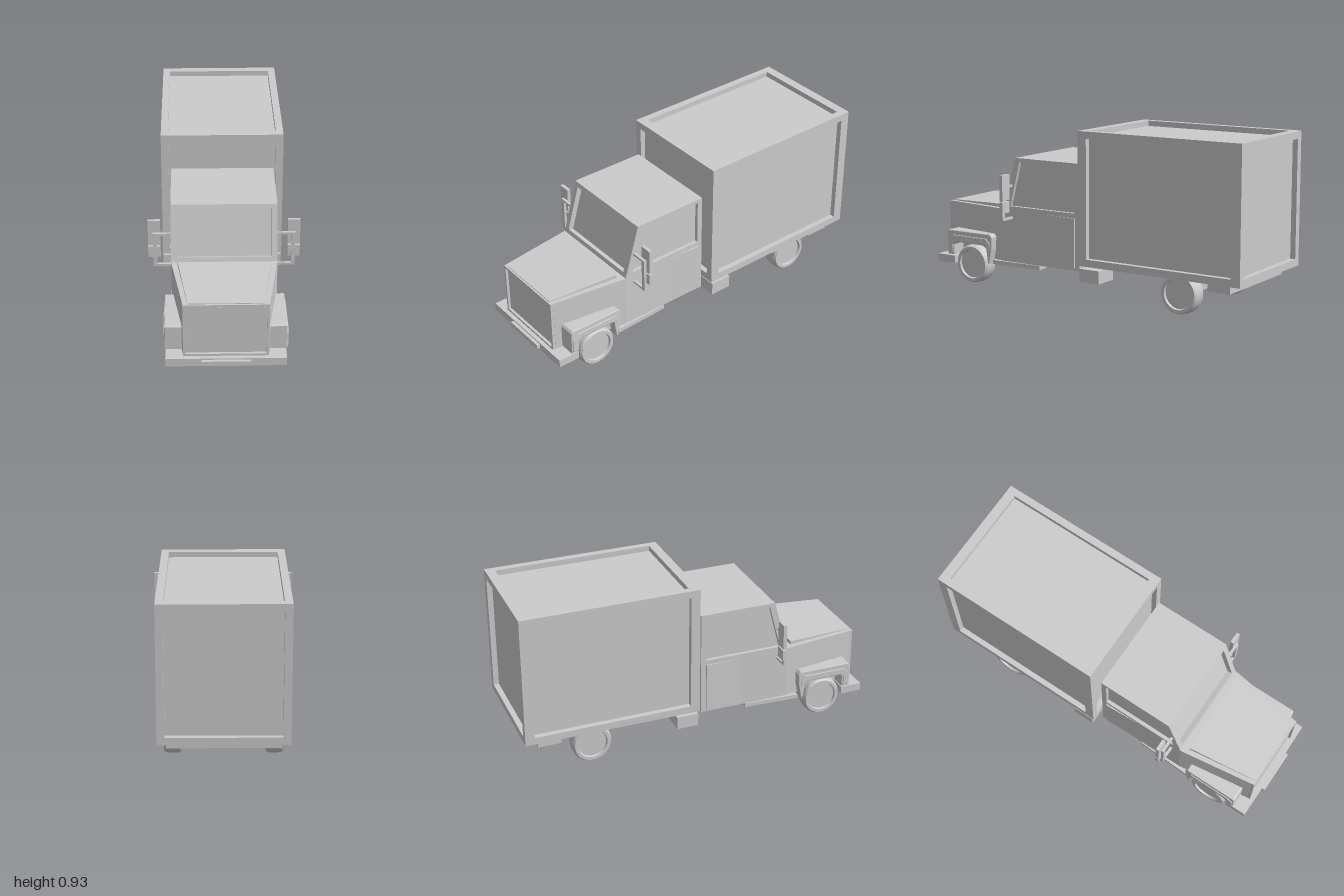
import * as THREE from 'three';
import { toCreasedNormals } from 'three/addons/utils/BufferGeometryUtils.js';

const material = new THREE.MeshStandardMaterial({ color: 0xcccccc, flatShading: true });
const smoothMaterial = new THREE.MeshStandardMaterial({ color: 0xcccccc });

function add(parent, name, geometry, mat = material) {
  const mesh = new THREE.Mesh(geometry, mat);
  mesh.name = name;
  parent.add(mesh);
  return mesh;
}

// Box given by its limits on each axis
function block(parent, name, [x0, x1], [y0, y1], [z0, z1]) {
  const g = new THREE.BoxGeometry(x1 - x0, y1 - y0, z1 - z0);
  g.translate((x0 + x1) / 2, (y0 + y1) / 2, (z0 + z1) / 2);
  return add(parent, name, g);
}

// Mirrored limits for the left (+1) and right (-1) side
const sided = (s, a, b) => (s > 0 ? [a, b] : [-b, -a]);

function shapeOf(points, hole) {
  const shape = new THREE.Shape(points.map(p => new THREE.Vector2(...p)));
  if (hole) shape.holes.push(new THREE.Path(hole.map(p => new THREE.Vector2(...p))));
  return shape;
}

// Side profile in (z, y), extruded across x from x0 to x1
function sideExtrude(points, x0, x1, hole, bevel = 0) {
  const g = new THREE.ExtrudeGeometry(shapeOf(points, hole), {
    depth: x1 - x0 - 2 * bevel, bevelEnabled: bevel > 0,
    bevelSize: bevel, bevelThickness: bevel, bevelOffset: -bevel, bevelSegments: 2,
  });
  g.rotateY(-Math.PI / 2);
  g.translate(x1 - bevel, 0, 0);
  return g;
}

// Plan outline in (x, z), extruded from y0 to y1
function planExtrude(points, y0, y1) {
  const g = new THREE.ExtrudeGeometry(shapeOf(points), { depth: y1 - y0, bevelEnabled: false });
  g.rotateX(Math.PI / 2);
  g.translate(0, y1, 0);
  return g;
}

const rect = (x, y0, y1) => [[-x, y0], [x, y0], [x, y1], [-x, y1]];

function cargoBox() {
  const g = new THREE.Group();
  g.name = 'cargoBox';
  const X = 0.333, Y0 = 0.195, Y1 = 0.925, Z0 = -1, Z1 = -0.018, t = 0.04, tz = 0.052, d = 0.03;
  block(g, 'recessedPanels', [-X + d, X - d], [Y0 + 0.005, Y1 - d], [Z0 + d, Z1 - d]);
  for (const s of [1, -1]) {
    for (const z of [[Z0, Z0 + tz], [Z1 - tz, Z1]]) block(g, 'cornerPost', sided(s, X - t, X), [Y0, Y1], z);
    for (const y of [[Y0, Y0 + t], [Y1 - t, Y1]]) block(g, 'sideRail', sided(s, X - t, X), y, [Z0 + tz, Z1 - tz]);
  }
  for (const y of [[Y0, Y0 + t], [Y1 - t, Y1]])
    for (const z of [[Z0, Z0 + tz], [Z1 - tz, Z1]]) block(g, 'crossRail', [-X + t, X - t], y, z);
  block(g, 'floor', [-X + t, X - t], [Y0, Y0 + 0.02], [Z0 + tz, Z1 - tz]);
  return g;
}

function cab() {
  const g = new THREE.Group();
  g.name = 'cab';
  const W = 0.278;
  // Lower body narrowing towards the nose
  add(g, 'lowerBody', planExtrude(
    [[-W, 0.01], [W, 0.01], [W, 0.525], [0.218, 0.945], [-0.218, 0.945], [-W, 0.525]], 0.15, 0.446));
  // Glass volume seen through the window frames
  add(g, 'windows', sideExtrude([[0.02, 0.44], [0.493, 0.44], [0.412, 0.73], [0.02, 0.73]], -0.258, 0.258));
  // Side walls with window openings
  const wall = [[0.01, 0.44], [0.525, 0.44], [0.44, 0.74], [0.01, 0.74]];
  const opening = [[0.04, 0.466], [0.478, 0.466], [0.412, 0.718], [0.04, 0.718]];
  add(g, 'leftWindowFrame', sideExtrude(wall, 0.256, W, opening));
  add(g, 'rightWindowFrame', sideExtrude(wall, -W, -0.256, opening));
  block(g, 'roof', [-W + 0.01, W - 0.01], [0.72, 0.74], [0.01, 0.44]);
  block(g, 'backWall', [-W + 0.01, W - 0.01], [0.44, 0.735], [0.01, 0.03]);
  // Sloping windscreen frame
  const frame = new THREE.ExtrudeGeometry(shapeOf(rect(W - 0.002, 0, 0.307), rect(0.248, 0.025, 0.282)),
    { depth: 0.03, bevelEnabled: false });
  frame.translate(0, 0, -0.03);
  frame.rotateX(-Math.atan(0.085 / 0.295));
  frame.translate(0, 0.445, 0.525);
  add(g, 'windscreenFrame', frame);
  // Raised bonnet panel: a box tapered to the front
  const bonnet = new THREE.BoxGeometry(2, 1, 1);
  const p = bonnet.attributes.position;
  for (let i = 0; i < p.count; i++) {
    const front = p.getZ(i) > 0, top = p.getY(i) > 0;
    p.setXYZ(i, p.getX(i) * (front ? 0.193 : 0.243), top ? (front ? 0.45 : 0.466) : 0.44, front ? 0.95 : 0.56);
  }
  add(g, 'bonnetPanel', bonnet);
  // Grille surround
  const grille = new THREE.ExtrudeGeometry(shapeOf(rect(0.217, 0.148, 0.446), rect(0.205, 0.16, 0.434)),
    { depth: 0.017, bevelEnabled: false });
  grille.translate(0, 0, 0.943);
  add(g, 'grilleFrame', grille);
  block(g, 'grillePanel', [-0.198, 0.198], [0.167, 0.427], [0.94, 0.949]);
  for (const s of [1, -1]) {
    const door = planExtrude([[0.27, 0.04], [0.287, 0.04], [W, 0.25], [0.27, 0.25]].map(([x, z]) => [s * x, z]), 0.165, 0.44);
    add(g, 'doorPanel', door);
    const step = planExtrude([[0.22, 0.275], [0.283, 0.275], [0.297, 0.59], [0.22, 0.59]].map(([x, z]) => [s * x, z]), 0.127, 0.15);
    add(g, 'sideStep', step);
  }
  return g;
}

function fender(parent, s) {
  const arch = [[0.905, 0.155], [0.905, 0.285], [0.895, 0.296], [0.6, 0.296], [0.586, 0.28],
    [0.59, 0.21], [0.606, 0.128], [0.616, 0.128], [0.63, 0.228], [0.845, 0.228], [0.858, 0.215], [0.858, 0.155]];
  const [a, b] = sided(s, 0.213, 0.312);
  add(parent, 'fender', sideExtrude(arch, a, b, null, 0.004));
  // Raised outer lip around the arch
  const lip = [[0.898, 0.165], [0.898, 0.24], [0.865, 0.27], [0.625, 0.27], [0.6, 0.24], [0.606, 0.21],
    [0.622, 0.222], [0.64, 0.236], [0.84, 0.236], [0.866, 0.218], [0.866, 0.165]];
  const [c, d] = sided(s, 0.3, 0.317);
  add(parent, 'fenderLip', sideExtrude(lip, c, d, null, 0.003));
}

function mirror(parent, s) {
  const g = new THREE.Group();
  g.name = s > 0 ? 'leftMirror' : 'rightMirror';
  const z = [0.459, 0.474];
  block(g, 'upperArm', sided(s, 0.27, 0.372), [0.576, 0.588], z);
  block(g, 'lowerArm', sided(s, 0.27, 0.372), [0.396, 0.408], z);
  block(g, 'upright', sided(s, 0.351, 0.372), [0.408, 0.576], z);
  block(g, 'mainMirror', sided(s, 0.333, 0.398), [0.514, 0.656], [0.44, 0.459]);
  block(g, 'smallMirror', sided(s, 0.333, 0.398), [0.443, 0.505], [0.44, 0.459]);
  parent.add(g);
}

function wheel(parent, name, s, z) {
  const profile = [[0, 0], [0.1, 0], [0.108, 0.012], [0.111, 0.04], [0.108, 0.078], [0.1, 0.09],
    [0.083, 0.09], [0.079, 0.078], [0, 0.078]].map(q => new THREE.Vector2(...q));
  const mesh = add(parent, name, toCreasedNormals(new THREE.LatheGeometry(profile, 32), 0.5), smoothMaterial);
  mesh.rotation.z = -s * Math.PI / 2;
  mesh.position.set(s * 0.218, 0.111, z);
}

export function createModel() {
  const truck = new THREE.Group();
  truck.name = 'boxTruck';
  truck.add(cargoBox(), cab());

  // Bumper, plate and chassis parts
  block(truck, 'frontBumper', [-0.307, 0.307], [0.102, 0.146], [0.86, 0.982]);
  block(truck, 'bumperPlate', [-0.125, 0.125], [0.113, 0.139], [0.98, 1]);
  block(truck, 'cabCoupling', [-0.125, 0.125], [0.195, 0.238], [-0.03, 0.02]);
  block(truck, 'rearBar', [-0.29, 0.29], [0.145, 0.2], [-0.922, -0.792]);
  block(truck, 'rearAxle', [-0.23, 0.23], [0.092, 0.128], [-0.643, -0.607]);
  block(truck, 'axleMount', [-0.04, 0.04], [0.12, 0.2], [-0.65, -0.6]);

  for (const s of [1, -1]) {
    block(truck, 'fuelTank', sided(s, 0.19, 0.332), [0.108, 0.18], [-0.15, -0.027]);
    block(truck, 'tankBracket', sided(s, 0.21, 0.27), [0.175, 0.2], [-0.12, -0.06]);
    fender(truck, s);
    mirror(truck, s);
    wheel(truck, 'frontWheel', s, 0.738);
    wheel(truck, 'rearWheel', s, -0.625);
  }
  return truck;
}
